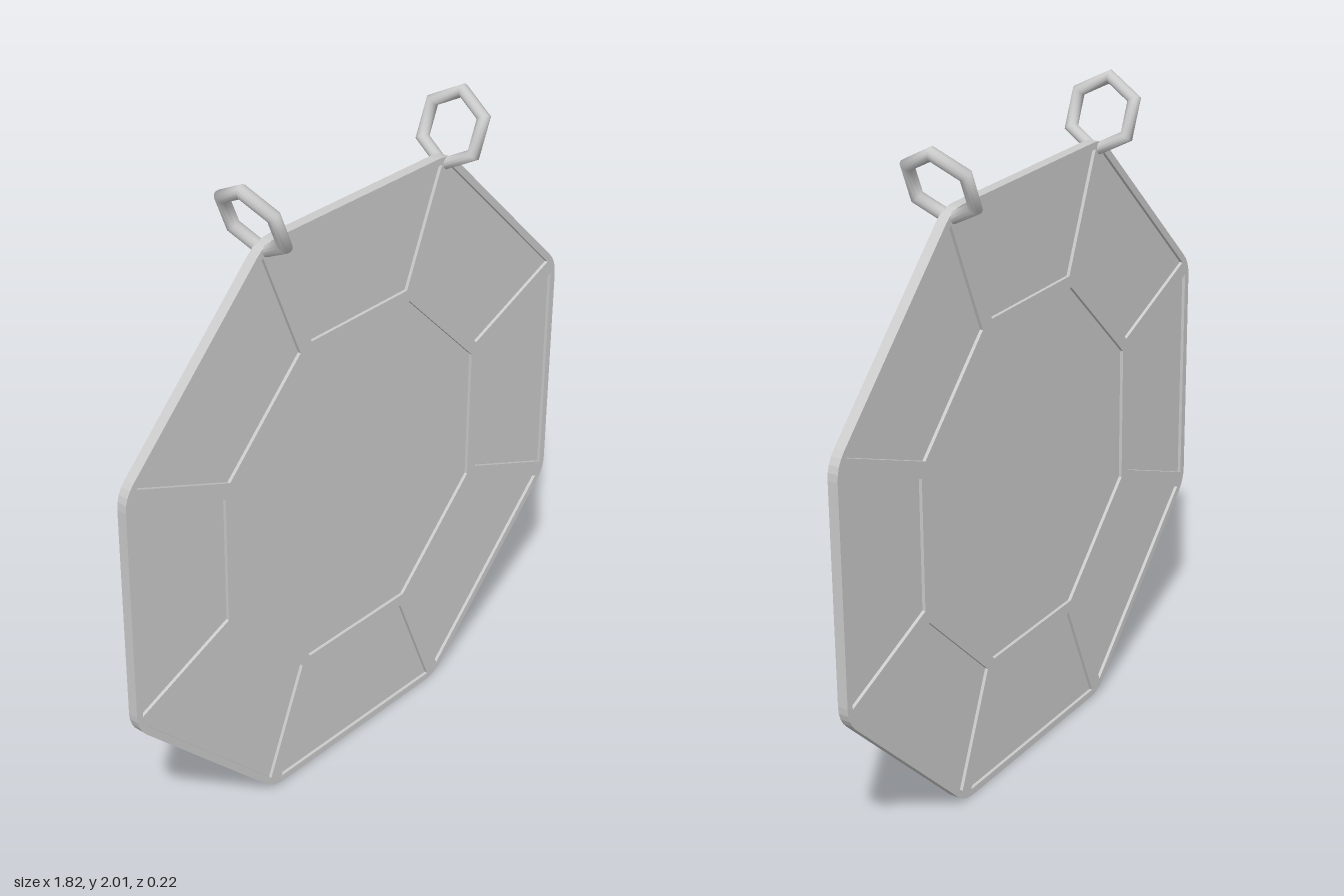
import * as THREE from 'three';

const grey = () => new THREE.MeshStandardMaterial({ color: 0xcccccc });
const TAN = Math.tan(Math.PI / 8);

// Corners of a regular octagon with flat top, given its apothem
function octagon(apothem) {
  const r = apothem / Math.cos(Math.PI / 8);
  return Array.from({ length: 8 }, (_, i) => {
    const a = Math.PI / 8 + (i * Math.PI) / 4;
    return new THREE.Vector2(r * Math.cos(a), r * Math.sin(a));
  });
}

// Octagon outline with each corner softened
function roundedOctagon(apothem, cut) {
  const pts = octagon(apothem);
  const shape = new THREE.Shape();
  pts.forEach((p, i) => {
    const before = p.clone().add(pts[(i + 7) % 8].clone().sub(p).setLength(cut));
    const after = p.clone().add(pts[(i + 1) % 8].clone().sub(p).setLength(cut));
    if (i === 0) shape.moveTo(before.x, before.y);
    else shape.lineTo(before.x, before.y);
    shape.quadraticCurveTo(p.x, p.y, after.x, after.y);
  });
  shape.closePath();
  return shape;
}

function slab(shape, depth) {
  const geo = new THREE.ExtrudeGeometry(shape, { depth, bevelEnabled: false, curveSegments: 4 });
  geo.translate(0, 0, -depth / 2);
  return geo;
}

export function createModel() {
  const model = new THREE.Group();
  const plaque = new THREE.Group();
  plaque.name = 'plaque';
  plaque.position.y = 0.911;
  plaque.rotation.z = -0.0105; // hangs slightly askew
  model.add(plaque);

  const add = (name, geo) => {
    const mesh = new THREE.Mesh(geo, grey());
    mesh.name = name;
    plaque.add(mesh);
    return mesh;
  };

  // Frame: rim, inner octagon band and eight spokes
  const frame = roundedOctagon(0.907, 0.045);
  frame.holes.push(new THREE.Path(octagon(0.508)));
  const inner = 0.545, outer = 0.885, gap = 0.026;
  for (let i = 0; i < 8; i++) {
    const wi = inner * TAN - gap, wo = outer * TAN - gap;
    const corners = [[-wi, inner], [wi, inner], [wo, outer], [-wo, outer]].map(([x, y]) =>
      new THREE.Vector2(x, y).rotateAround(new THREE.Vector2(), (i * Math.PI) / 4));
    frame.holes.push(new THREE.Path(corners));
  }
  add('frame', slab(frame, 0.032));

  // Recessed panel filling all the openings
  add('panel', slab(new THREE.Shape(octagon(0.895)), 0.012));

  // Hexagonal hanging rings on the two top corners
  for (const side of [1, -1]) {
    const angle = Math.PI / 2 - (side * Math.PI) / 8;
    const ring = add(side > 0 ? 'leftRing' : 'rightRing',
      new THREE.TorusGeometry(0.106, 0.02, 12, 6).rotateX(Math.PI / 2));
    ring.position.set(1.053 * Math.cos(angle), 1.053 * Math.sin(angle), 0);
    ring.rotation.z = angle;
  }
  return model;
}
